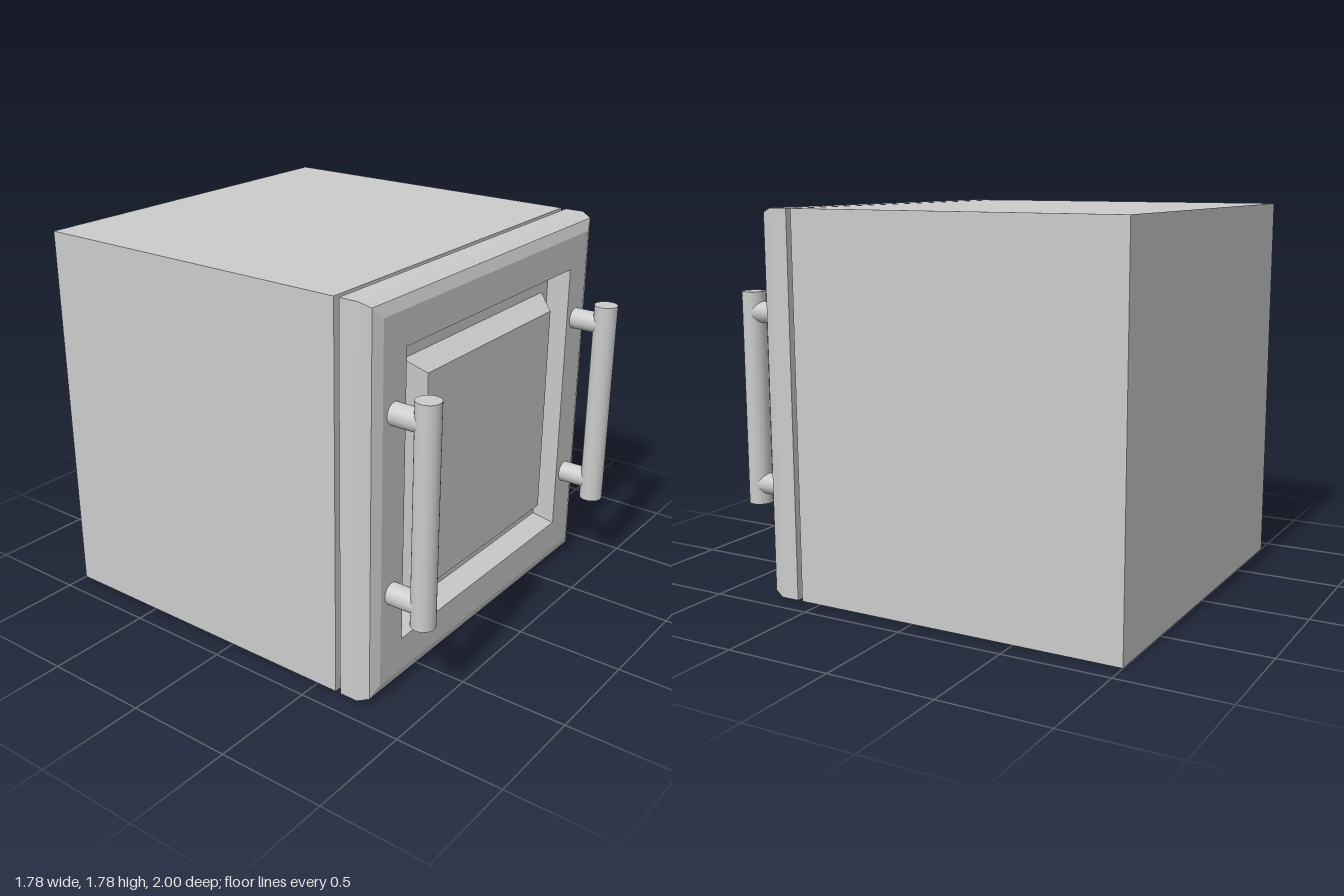
import * as THREE from 'three';

const material = new THREE.MeshStandardMaterial({ color: 0xcccccc });
const flat = new THREE.MeshStandardMaterial({ color: 0xcccccc, flatShading: true });
const HALF = 0.892; // half of the square front

function add(parent, name, geometry, mat, x, y, z) {
  const mesh = new THREE.Mesh(geometry, mat);
  mesh.name = name;
  mesh.position.set(x, y, z);
  parent.add(mesh);
  return mesh;
}

// Square stepped solid: profile of [half width, z], from back centre to front centre
function squareLathe(profile) {
  const points = profile.map(([half, z]) => new THREE.Vector2(half * Math.SQRT2, z));
  const geometry = new THREE.LatheGeometry(points, 4, Math.PI / 4).rotateX(Math.PI / 2).toNonIndexed();
  geometry.computeVertexNormals();
  return geometry;
}

// Upright bar on two round posts
function createHandle(name, x) {
  const handle = new THREE.Group();
  handle.name = name;
  add(handle, 'handleBar', new THREE.CylinderGeometry(0.055, 0.055, 1.005, 32), material, x, 0.895, 0.945);
  for (const y of [0.488, 1.302]) {
    const post = new THREE.CylinderGeometry(0.05, 0.05, 0.17, 32).rotateX(Math.PI / 2);
    add(handle, 'handlePost', post, material, x, y, 0.86);
  }
  return handle;
}

export function createModel() {
  const model = new THREE.Group();
  model.name = 'cabinet';

  add(model, 'cabinetBody', new THREE.BoxGeometry(HALF * 2, HALF * 2, 1.6), flat, 0, HALF, -0.2);

  // Door with its spacer, bevelled rim, sunk moulding and raised centre panel
  add(model, 'door', squareLathe([
    [0, 0.6], [0.86, 0.6], [0.86, 0.625], // spacer
    [HALF, 0.625], [HALF, 0.715], [0.872, 0.766], [0.822, 0.785], // rim
    [0.667, 0.785], [0.62, 0.695], // moulding
    [0.565, 0.695], [0.505, 0.78], [0, 0.78], // centre panel
  ]), flat, 0, HALF, 0);

  model.add(createHandle('leftHandle', 0.745), createHandle('rightHandle', -0.745));
  return model;
}
